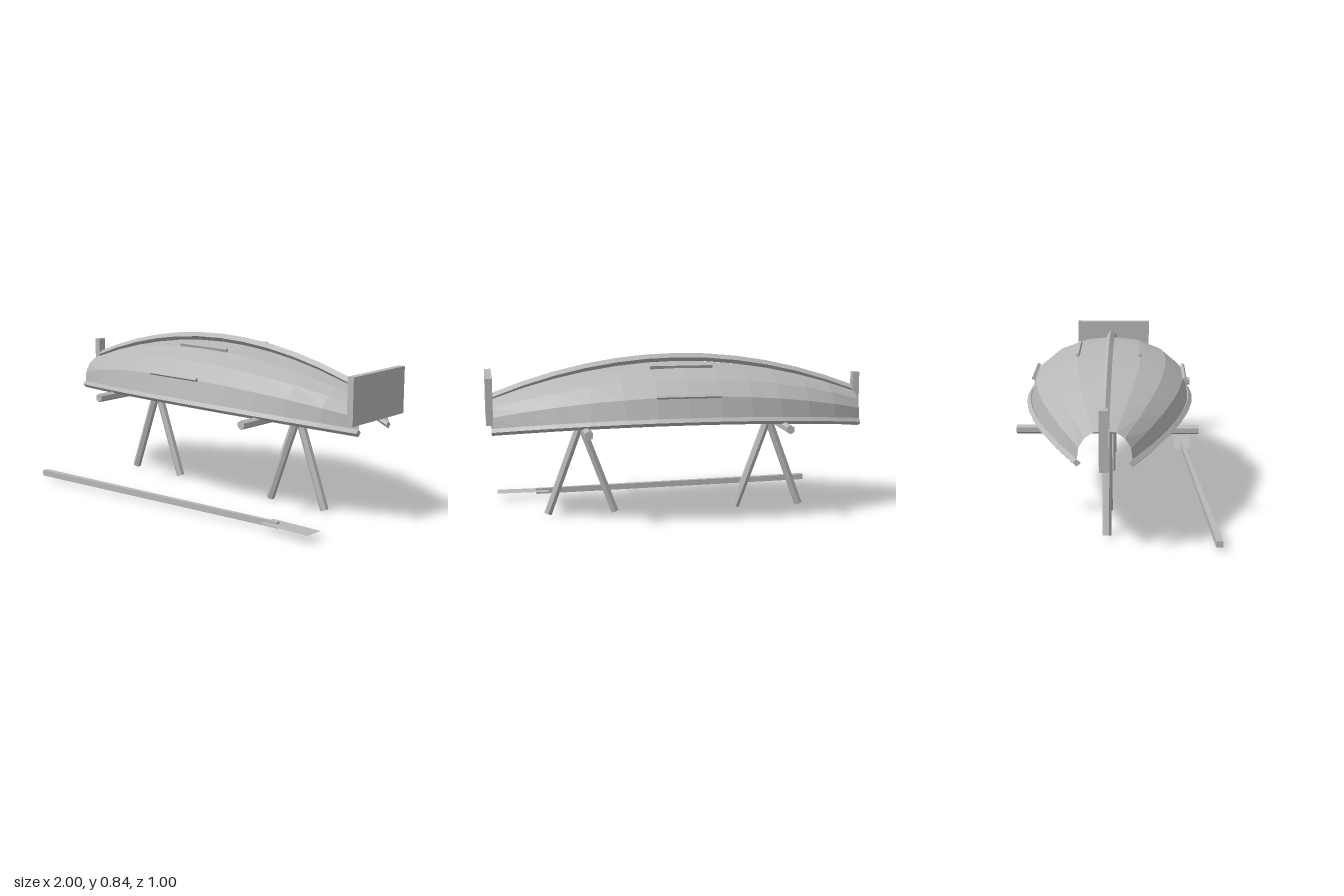
import * as THREE from 'three';

const CZ = -0.055;      // centre line of the boat
const HALF = 0.97;      // half length of the hull
const STATIONS = 12;

const grey = new THREE.MeshStandardMaterial({ color: 0xb8b8b8, flatShading: true, side: THREE.DoubleSide });
grey.name = 'plain grey';

// value that falls off as a parabola from midships to the ends
const bow = (mid, end, x) => mid + (end - mid) * (x / HALF) ** 2;
const stationX = (i) => -HALF + (2 * HALF * i) / STATIONS;

// half cross-section: fraction of half-width, fraction of height
const HALF_SECTION = [[1, 0], [0.93, 0.47], [0.71, 0.765], [0.4, 0.94], [0, 1]];
const SECTION = [...HALF_SECTION, ...HALF_SECTION.slice(0, 4).reverse().map(([w, h]) => [-w, h])];

const hullPoint = (x, [w, h]) => {
  const low = bow(0.55, 0.478, x);
  const high = bow(0.805, 0.63, x);
  return [x, low + (high - low) * h, CZ + w * bow(0.415, 0.128, x)];
};

// skin joining equal rings of points
function loft(rings, closed) {
  const n = rings[0].length;
  const index = [];
  const spans = closed ? n : n - 1;
  for (let i = 0; i < rings.length - 1; i++) {
    for (let j = 0; j < spans; j++) {
      const a = i * n + j, b = i * n + ((j + 1) % n);
      index.push(a, a + n, b, b, a + n, b + n);
    }
  }
  if (closed) {
    const last = (rings.length - 1) * n;
    for (let j = 1; j < n - 1; j++) {
      index.push(0, j, j + 1, last, last + j + 1, last + j);
    }
  }
  const g = new THREE.BufferGeometry();
  g.setAttribute('position', new THREE.Float32BufferAttribute(rings.flat(2), 3));
  g.setIndex(index);
  g.computeVertexNormals();
  return g;
}

// diamond bar following a line along the boat
function diamondBar(centre, r) {
  const rings = [];
  for (let i = 0; i <= STATIONS; i++) {
    const [x, y, z] = centre(stationX(i));
    rings.push([[x, y, z + r], [x, y + r, z], [x, y, z - r], [x, y - r, z]]);
  }
  return loft(rings, true);
}

// six-sided pole between two points
function pole(a, b, r) {
  const from = new THREE.Vector3(...a), to = new THREE.Vector3(...b);
  const dir = to.clone().sub(from);
  const g = new THREE.CylinderGeometry(r, r, dir.length(), 6);
  g.applyQuaternion(new THREE.Quaternion().setFromUnitVectors(new THREE.Vector3(0, 1, 0), dir.normalize()));
  const mid = from.add(to).multiplyScalar(0.5);
  return g.translate(mid.x, mid.y, mid.z);
}

export function createModel() {
  const model = new THREE.Group();
  model.name = 'upturnedBoat';
  const add = (name, geometry, parent = model) => {
    const mesh = new THREE.Mesh(geometry, grey);
    mesh.name = name;
    parent.add(mesh);
    return mesh;
  };
  const box = (name, size, pos, parent) => {
    const mesh = add(name, new THREE.BoxGeometry(...size), parent);
    mesh.position.set(...pos);
    return mesh;
  };

  // Hull shell, open below and at both ends
  const rings = [];
  for (let i = 0; i <= STATIONS; i++) rings.push(SECTION.map((p) => hullPoint(stationX(i), p)));
  add('hull', loft(rings, false));

  // Keel and gunwales
  add('keel', diamondBar((x) => [x, bow(0.828, 0.638, x), CZ], 0.021));
  for (const s of [1, -1]) {
    add(s > 0 ? 'frontGunwale' : 'backGunwale',
      diamondBar((x) => [x, bow(0.55, 0.477, x), CZ + s * bow(0.417, 0.127, x)], 0.018));
  }

  // Short battens on the planking
  for (const s of [1, -1]) {
    for (const [offset, y, tilt] of [[0.161, 0.795, 0.3], [0.39, 0.672, 0.95]]) {
      box('batten', [0.325, 0.017, 0.014], [0.005, y, CZ + s * offset]).rotation.x = s * tilt;
    }
  }

  // End boards
  box('transom', [0.034, 0.235, 0.43], [0.98, 0.643, CZ]);
  box('stemPost', [0.036, 0.29, 0.042], [-0.982, 0.585, CZ - 0.005]);

  // Trestles
  for (const x of [-0.5, 0.51]) {
    const trestle = new THREE.Group();
    trestle.name = 'trestle';
    model.add(trestle);
    add('crossBar', pole([x, 0.5, 0.392], [x, 0.5, -0.5], 0.023), trestle);
    for (const s of [-1, 1]) {
      add('trestleLeg', pole([x, 0.49, CZ], [x + s * 0.177, 0.012, CZ], 0.022), trestle);
    }
  }

  // Oar lying in front: tapered shaft and flat blade
  const oar = new THREE.Group();
  oar.name = 'oar';
  model.add(oar);
  const shaftEnd = (x, z, w) => [[x, 0.025, z - w], [x, 0.025, z + w], [x, 0.056, z + w], [x, 0.056, z - w]];
  add('oarShaft', loft([shaftEnd(-0.86, 0.483, 0.016), shaftEnd(0.725, 0.365, 0.009)], true), oar);
  const blade = add('oarBlade', new THREE.PlaneGeometry(0.285, 0.1).rotateX(-Math.PI / 2), oar);
  blade.position.set(0.797, 0.045, 0.365);
  return model;
}
